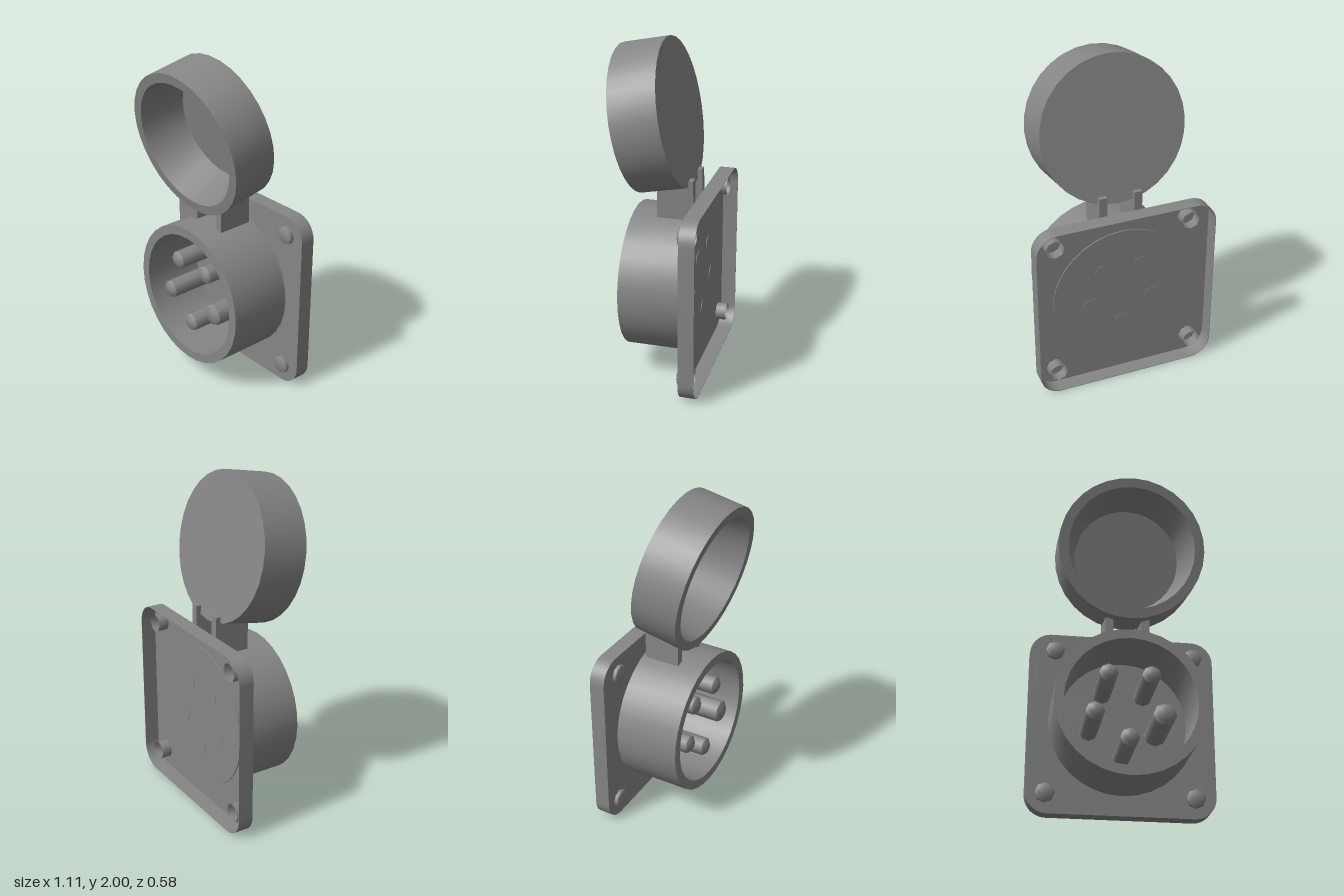
import * as THREE from 'three';
import { toCreasedNormals } from 'three/addons/utils/BufferGeometryUtils.js';

const material = new THREE.MeshStandardMaterial({ color: 0x868686, side: THREE.DoubleSide });

function addMesh(parent, name, geometry) {
  const mesh = new THREE.Mesh(geometry, material);
  mesh.name = name;
  parent.add(mesh);
  return mesh;
}

// Lathe whose axis points along +z, with sharp edges kept
function turned(profile, sides) {
  const points = profile.map(([r, h]) => new THREE.Vector2(r, h));
  const geometry = new THREE.LatheGeometry(points, sides).rotateX(Math.PI / 2);
  return toCreasedNormals(geometry, 0.85);
}

// Rounded square outline centred on (0, y)
function roundedSquare(half, radius, y) {
  const s = new THREE.Shape();
  const c = half - radius;
  s.absarc(c, y + c, radius, 0, Math.PI / 2);
  s.absarc(-c, y + c, radius, Math.PI / 2, Math.PI);
  s.absarc(-c, y - c, radius, Math.PI, Math.PI * 1.5);
  s.absarc(c, y - c, radius, Math.PI * 1.5, Math.PI * 2);
  s.closePath();
  return s;
}

export function createModel() {
  const group = new THREE.Group();
  const midY = 0.555;

  // Mounting plate: thin face with a skirt, open at the back
  const plate = new THREE.Group();
  plate.name = 'mountingPlate';
  group.add(plate);
  const outline = roundedSquare(0.553, 0.13, midY);
  addMesh(plate, 'plateFace', new THREE.ShapeGeometry(outline, 8)).position.z = -0.198;
  const ring = roundedSquare(0.553, 0.13, midY);
  ring.holes.push(roundedSquare(0.55, 0.127, midY));
  const skirt = new THREE.ExtrudeGeometry(ring, { depth: 0.092, bevelEnabled: false, curveSegments: 8 });
  addMesh(plate, 'plateSkirt', toCreasedNormals(skirt, 0.5)).position.z = -0.29;

  // Socket barrel: straight cup facing forward
  const barrel = turned([[0, 0], [0.435, 0], [0.435, 0.396], [0.379, 0.396], [0.379, 0.015], [0, 0.015]], 32);
  addMesh(group, 'socketBarrel', barrel).position.set(0.002, midY, -0.205);

  // Contact pins with shallow domed tips, one of them thicker
  const pins = [[-0.123, 0.728, 0.055], [0.122, 0.728, 0.055], [-0.198, 0.495, 0.055], [0.195, 0.493, 0.067], [-0.003, 0.35, 0.055]];
  for (const [x, y, r] of pins) {
    const pin = turned([[0, 0], [r, 0], [r, 0.366], [r * 0.65, 0.381], [0, 0.387]], 8);
    addMesh(group, 'contactPin', pin).position.set(x, y, -0.208);
  }

  // Hollow screws with low heads passing through the plate
  const screws = [[-0.403, 1.0], [0.432, 1.0], [-0.44, 0.12], [0.432, 0.12]];
  for (const [x, y] of screws) {
    const screw = turned([[0.056, 0], [0.056, 0.085], [0.04, 0.093], [0, 0.096]], 8);
    addMesh(group, 'screw', screw).position.set(x, y, -0.262);
  }

  // Flip cap: tapered cup tilted forward
  const cap = turned([[0, -0.14], [0.435, -0.14], [0.435, 0.14], [0.378, 0.14], [0.318, -0.125], [0, -0.125]], 32);
  const capMesh = addMesh(group, 'flipCap', cap);
  capMesh.position.set(0.002, 1.547, 0.071);
  capMesh.rotation.x = THREE.MathUtils.degToRad(11.2);

  // Pair of hinge lugs, drawn as (z, y) side profiles
  const lug = new THREE.Shape(
    [[0.04, 0.97], [0.04, 1.13], [-0.143, 1.18], [-0.146, 1.21], [-0.173, 1.21], [-0.177, 0.97]]
      .map(([z, y]) => new THREE.Vector2(-z, y)));
  const lugGeometry = new THREE.ExtrudeGeometry(lug, { depth: 0.048, bevelEnabled: false });
  lugGeometry.translate(0, 0, -0.024).rotateY(Math.PI / 2);
  for (const side of [-1, 1]) {
    addMesh(group, 'hingeLug', lugGeometry).position.x = side * 0.107;
  }

  return group;
}
